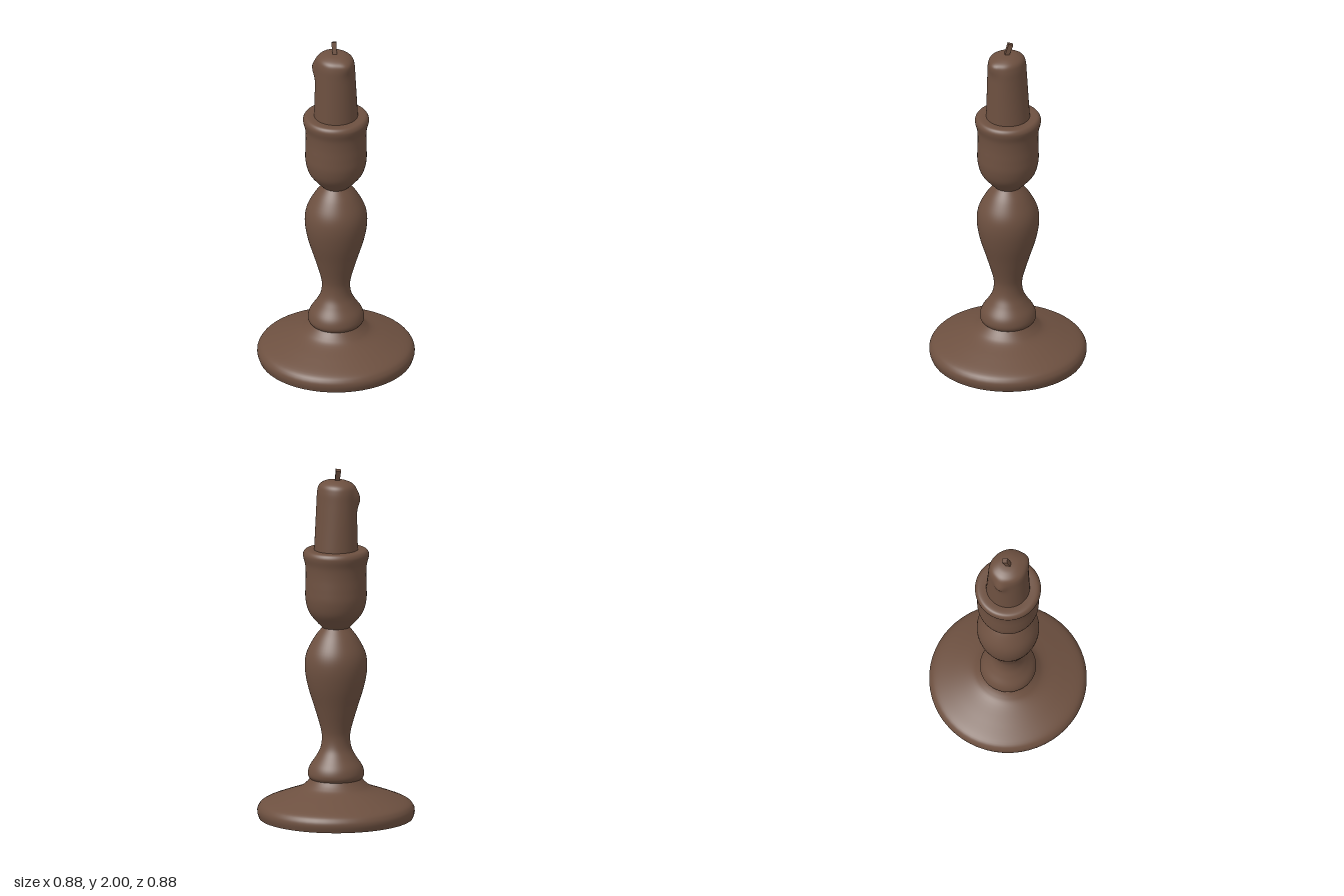
import * as THREE from 'three';
import { mergeVertices } from 'three/addons/utils/BufferGeometryUtils.js';

const SEGMENTS = 56;

// Turned shape: a smooth curve through [radius, height] points, spun around y
function turned(points, samples) {
  const curve = new THREE.SplineCurve(points.map(([r, y]) => new THREE.Vector2(r, y)));
  const profile = curve.getPoints(samples);
  profile.forEach((p) => { p.x = Math.max(p.x, 0); });
  return new THREE.LatheGeometry(profile, SEGMENTS);
}

// Candle: tapered, leaning in at the back, with two drips of wax on its shoulder
function candleGeometry() {
  const geometry = turned([
    [0.124, 1.5], [0.12, 1.65], [0.116, 1.8], [0.113, 1.87], [0.1, 1.905],
    [0.065, 1.925], [0.03, 1.932], [0, 1.932],
  ], 42);
  const drips = [
    { angle: Math.atan2(-0.12, 0.075), y: 1.83, size: 0.022, width: 0.28 },
    { angle: Math.atan2(0.12, 0.03), y: 1.9, size: 0.016, width: 0.35 },
  ];
  const pos = geometry.attributes.position;
  for (let i = 0; i < pos.count; i++) {
    let x = pos.getX(i), z = pos.getZ(i);
    const y = pos.getY(i), r = Math.hypot(x, z);
    const angle = Math.atan2(x, z);
    let bulge = 0;
    for (const d of drips) {
      const turn = Math.atan2(Math.sin(angle - d.angle), Math.cos(angle - d.angle));
      bulge += d.size * Math.exp(-((turn / d.width) ** 2) - ((y - d.y) / 0.05) ** 2);
    }
    const grow = 1 + (bulge / 0.115) * Math.min(1, r / 0.08);
    x *= grow;
    z *= grow;
    if (z < 0) z *= 1 - 0.17 * THREE.MathUtils.clamp((y - 1.53) / 0.35, 0, 1);
    pos.setXYZ(i, x, y, z);
  }
  geometry.deleteAttribute('uv');
  geometry.deleteAttribute('normal');
  const merged = mergeVertices(geometry, 1e-5);
  merged.computeVertexNormals();
  return merged;
}

export function createModel() {
  const model = new THREE.Group();
  model.name = 'candlestick';
  const brown = new THREE.MeshStandardMaterial({ color: 0x6d5040 });
  brown.name = 'brown';

  const add = (name, geometry) => {
    const mesh = new THREE.Mesh(geometry, brown);
    mesh.name = name;
    model.add(mesh);
    return mesh;
  };

  // Broad domed foot and its flat underside
  add('foot', turned([
    [0.432, 0], [0.442, 0.035], [0.435, 0.065], [0.405, 0.092], [0.31, 0.13],
    [0.21, 0.167], [0.17, 0.195], [0.143, 0.225],
  ], 32));
  const underside = add('underside', new THREE.CircleGeometry(0.432, SEGMENTS));
  underside.rotation.x = Math.PI / 2;

  // Collar, waist and bulb of the stem
  add('stem', turned([
    [0.143, 0.222], [0.156, 0.24], [0.157, 0.265], [0.145, 0.3], [0.112, 0.35],
    [0.087, 0.4], [0.079, 0.46], [0.088, 0.52], [0.12, 0.63], [0.158, 0.755],
    [0.175, 0.86], [0.165, 0.945], [0.122, 1.03], [0.076, 1.09],
  ], 64));

  // Cup with a flared, rounded rim
  add('cup', turned([
    [0.076, 1.09], [0.11, 1.125], [0.152, 1.18], [0.171, 1.25], [0.172, 1.32],
    [0.17, 1.39], [0.173, 1.45], [0.184, 1.495], [0.184, 1.517], [0.172, 1.534],
    [0.15, 1.538], [0.11, 1.535],
  ], 56));

  add('candle', candleGeometry());

  // Short crooked wick with a square section
  const wickBase = new THREE.Vector3(0.003, 1.915, 0.012);
  const wickTip = new THREE.Vector3(-0.02, 1.993, -0.003);
  const along = wickTip.clone().sub(wickBase);
  const wick = add('wick', new THREE.CylinderGeometry(0.02, 0.017, along.length(), 4).toNonIndexed());
  wick.geometry.computeVertexNormals();
  wick.position.copy(wickBase).add(wickTip).multiplyScalar(0.5);
  wick.quaternion.setFromUnitVectors(new THREE.Vector3(0, 1, 0), along.normalize());

  return model;
}
